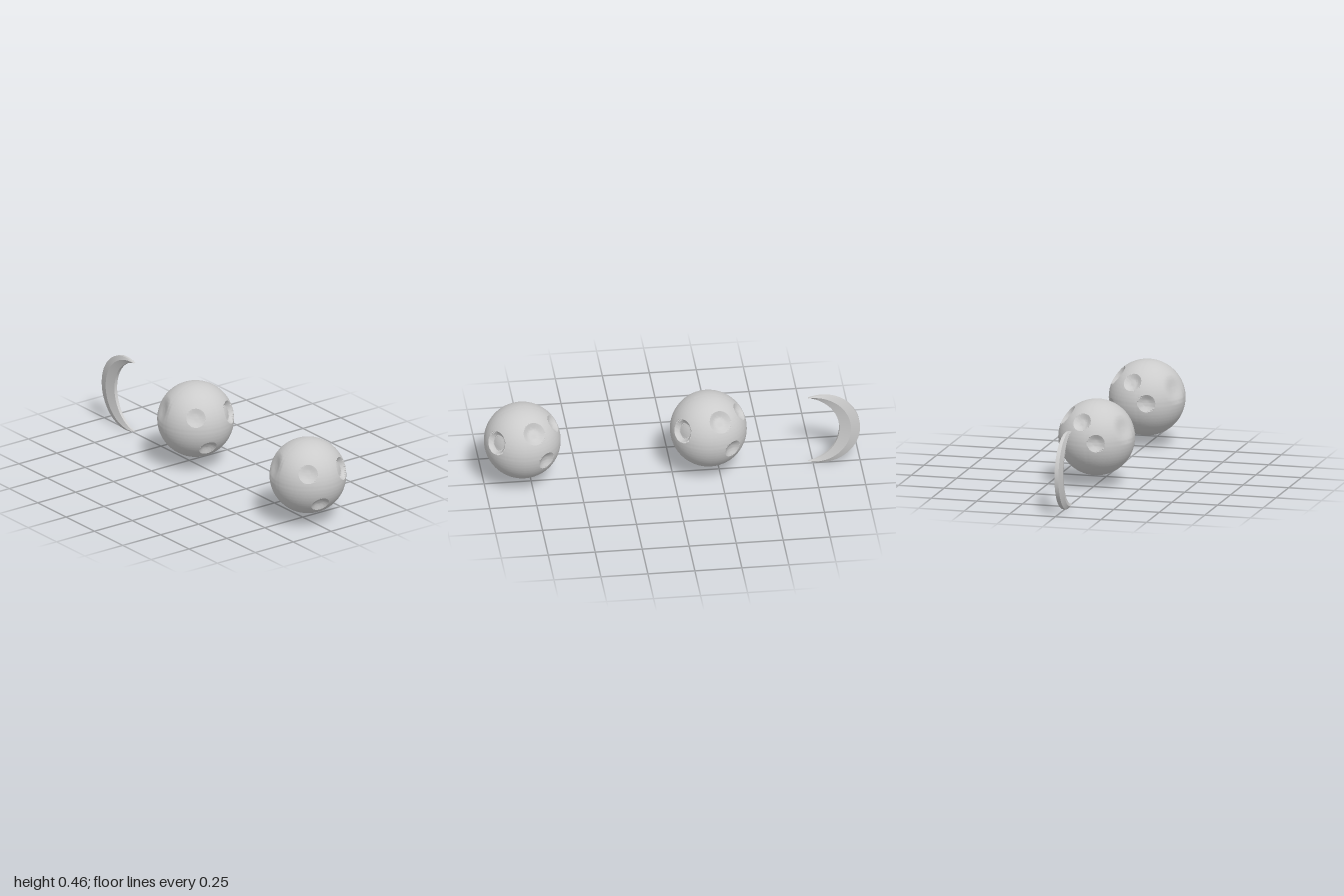
import * as THREE from 'three';
import { mergeVertices, toCreasedNormals } from 'three/addons/utils/BufferGeometryUtils.js';

const material = () => new THREE.MeshStandardMaterial({ color: 0xcccccc });
const R = 0.203;

// Craters: direction from the centre, rim radius, floor share of the rim, depth, soft edge
const craters = [
  { dir: [0.56, 0.30, 0.77], rim: 0.062, floor: 0.7, depth: 0.026 },
  { dir: [0.74, 0.62, -0.24], rim: 0.06, floor: 0.4, depth: 0.028 },
  { dir: [0.81, -0.19, -0.56], rim: 0.05, floor: 0.2, depth: 0.022 },
  { dir: [0.18, 0.56, -0.80], rim: 0.05, floor: 0.3, depth: 0.022 },
  { dir: [-0.55, 0.38, 0.75], rim: 0.051, floor: 0.2, depth: 0.016 },
  { dir: [-0.20, -0.54, 0.82], rim: 0.049, floor: 0.2, depth: 0.022 },
  { dir: [-0.25, 0.04, -0.97], rim: 0.047, floor: 0.2, depth: 0.022 },
  { dir: [-0.87, 0.35, -0.34], rim: 0.085, floor: 0.1, depth: 0.018, soft: true },
].map((c) => ({ ...c, dir: new THREE.Vector3(...c.dir).normalize(), angle: Math.asin(c.rim / R) }));

// Sphere whose vertices sink inside each crater; those near a rim snap onto it
function crateredSphere() {
  let geo = new THREE.SphereGeometry(R, 144, 90);
  geo.deleteAttribute('uv');
  geo.deleteAttribute('normal');
  geo = mergeVertices(geo, 1e-5);
  const pos = geo.attributes.position;
  const v = new THREE.Vector3();
  const axis = new THREE.Vector3();
  for (let i = 0; i < pos.count; i++) {
    v.fromBufferAttribute(pos, i).normalize();
    let radius = R;
    for (const c of craters) {
      const a = v.angleTo(c.dir);
      if (!c.soft && Math.abs(a - c.angle) < 0.018) {
        axis.crossVectors(c.dir, v).normalize();
        v.copy(c.dir).applyAxisAngle(axis, c.angle);
      } else if (a < c.angle) {
        const k = Math.min(1, (1 - a / c.angle) / (1 - c.floor));
        radius -= c.depth * (c.soft ? THREE.MathUtils.smoothstep(k, 0, 1) : Math.sin(k * Math.PI / 2));
      }
    }
    v.multiplyScalar(radius);
    pos.setXYZ(i, v.x, v.y, v.z);
  }
  return toCreasedNormals(geo, 0.4);
}

// Crescent: six-sided sections swept between an outer and an inner arc
function crescent() {
  const steps = 36, sides = 6, points = [], index = [];
  const arc = (z, r, degrees) => {
    const a = THREE.MathUtils.degToRad(degrees);
    return [0.207 + r * Math.sin(a), z - r * Math.cos(a)];
  };
  for (let i = 0; i <= steps; i++) {
    const s = (i / steps) * 2 - 1;
    const outer = arc(-0.793, 0.207, 109 * s);
    const inner = arc(-0.693, 0.197, 81 * s);
    const w = 1 - 0.65 * Math.abs(s) ** 2.5;
    const half = [[0, 0.011], [0.45, 0.022], [1, 0.009]];
    const section = [...half, ...half.map(([t, h]) => [t, -h]).reverse()];
    for (const [t, h] of section) {
      points.push(h * w,
        THREE.MathUtils.lerp(outer[0], inner[0], t),
        THREE.MathUtils.lerp(outer[1], inner[1], t));
    }
  }
  for (let i = 0; i < steps; i++) {
    for (let j = 0; j < sides; j++) {
      const a = i * sides + j, b = i * sides + (j + 1) % sides;
      index.push(a, b + sides, b, a, a + sides, b + sides);
    }
  }
  // Tip caps
  const last = steps * sides;
  for (let k = 1; k < sides - 1; k++) {
    index.push(0, k, k + 1, last, last + k + 1, last + k);
  }
  const geo = new THREE.BufferGeometry();
  geo.setAttribute('position', new THREE.Float32BufferAttribute(points, 3));
  geo.setIndex(index);
  return toCreasedNormals(geo, 0.35);
}

export function createModel() {
  const group = new THREE.Group();
  const add = (name, geo, x, y, z) => {
    const mesh = new THREE.Mesh(geo, material());
    mesh.name = name;
    mesh.position.set(x, y, z);
    group.add(mesh);
  };
  const sphere = crateredSphere();
  add('frontMoon', sphere, -0.001, 0.257, 0.797);
  add('middleMoon', sphere, -0.001, 0.257, -0.193);
  add('crescentMoon', crescent(), -0.006, 0, 0);
  return group;
}
